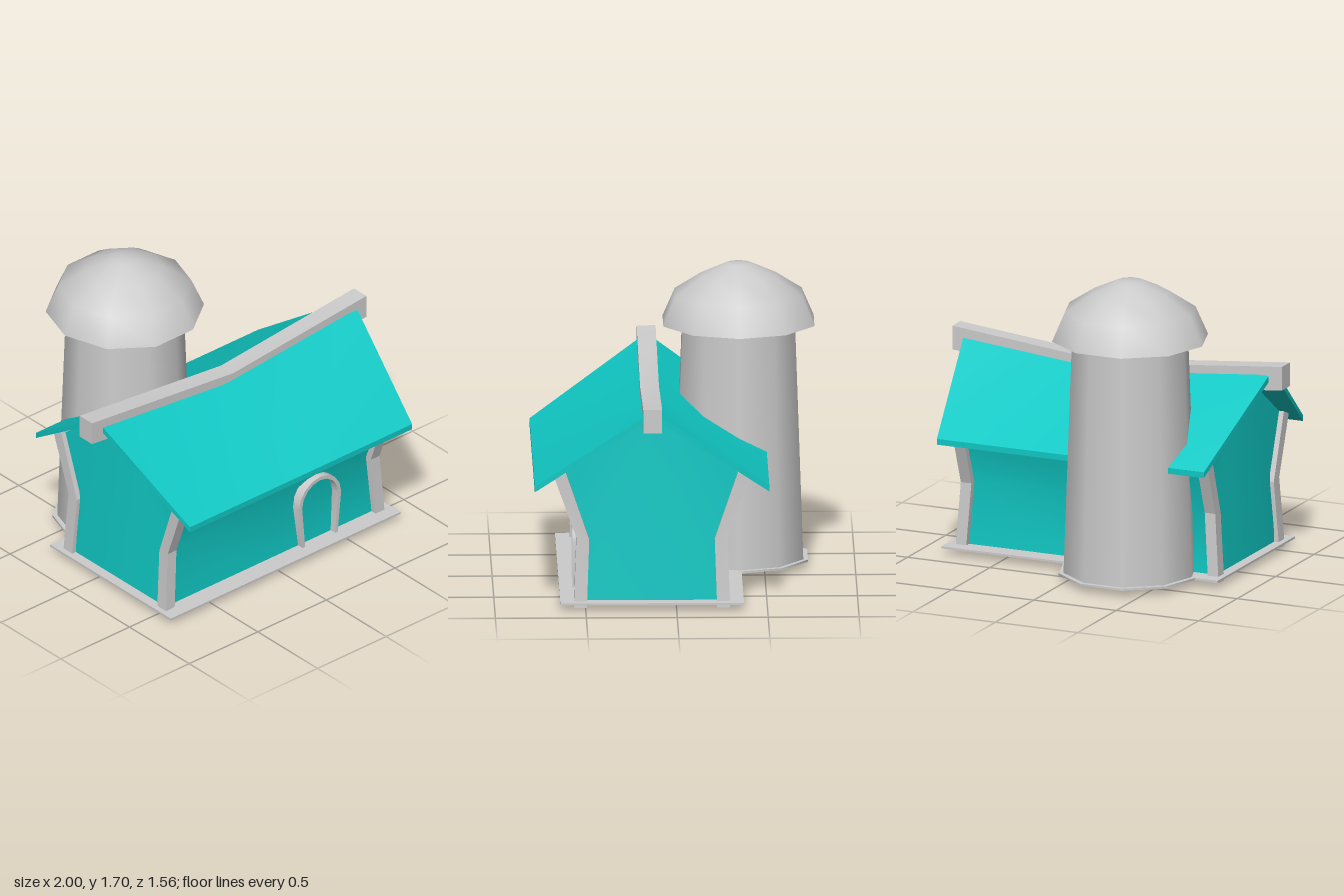
import * as THREE from 'three';
import { toCreasedNormals } from 'three/addons/utils/BufferGeometryUtils.js';

const grey = new THREE.MeshStandardMaterial({ color: 0xcccccc });
const greyOpen = new THREE.MeshStandardMaterial({ color: 0xcccccc, side: THREE.DoubleSide });
const teal = new THREE.MeshStandardMaterial({ color: 0x10c8c4 });
const MID = 0.135; // z of the ridge line

// Joins equal rings of [x, y, z] points into a closed solid; caps fan from point 0.
function loft(rings, crease = 0.6) {
  const n = rings[0].length, last = (rings.length - 1) * n, index = [];
  for (let r = 0; r < rings.length - 1; r++) {
    for (let i = 0; i < n; i++) {
      const a = r * n + i, b = r * n + (i + 1) % n;
      index.push(a, b, b + n, a, b + n, a + n);
    }
  }
  for (let i = 1; i < n - 1; i++) {
    index.push(0, i + 1, i, last, last + i, last + i + 1);
  }
  // Turn the faces outward if the signed volume is negative
  const p = rings.flat().map((c) => new THREE.Vector3(...c));
  let volume = 0;
  for (let i = 0; i < index.length; i += 3) {
    volume += p[index[i]].dot(p[index[i + 1]].clone().cross(p[index[i + 2]]));
  }
  if (volume < 0) index.reverse();
  const g = new THREE.BufferGeometry().setFromPoints(p);
  g.setIndex(index);
  return toCreasedNormals(g, crease);
}

export function createModel() {
  const model = new THREE.Group();
  const add = (name, geometry, material, x = 0, y = 0, z = 0) => {
    const mesh = new THREE.Mesh(geometry, material);
    mesh.name = name;
    mesh.position.set(x, y, z);
    model.add(mesh);
    return mesh;
  };

  // Walls: pinched waist, flared top, gable rising to the sagging ridge
  const wallRing = (s, ridgeY) => {
    const side = [[0.77, 0.02, 0.395], [0.742, 0.4, 0.375], [0.745, 0.74, 0.5]];
    const at = ([x, y, d], k) => [s * x + 0.007, y, MID + k * d];
    return [
      [s * 0.745 + 0.007, ridgeY, MID],
      ...side.slice().reverse().map((p) => at(p, 1)),
      ...side.map((p) => at(p, -1)),
    ];
  };
  add('walls', loft([wallRing(-1, 1.1), wallRing(0, 1.015), wallRing(1, 1.1)]), teal);

  // Roof: thin chevron sheet, longer at the ridge than at the eaves
  const roofRing = (s, ridgeY) => {
    const e = s * 0.81 + 0.007, r = s * 0.937 + 0.007;
    return [
      [r, ridgeY - 0.035, MID],
      [e, 0.667, MID + 0.645], [e, 0.7, MID + 0.645],
      [r, ridgeY, MID],
      [e, 0.7, MID - 0.645], [e, 0.667, MID - 0.645],
    ];
  };
  add('roof', loft([roofRing(-1, 1.15), roofRing(0, 1.06), roofRing(1, 1.15)]), teal);

  // Ridge beam, bent down in the middle
  const beamRing = (x, top) => [
    [x, top, MID - 0.052], [x, top, MID + 0.052],
    [x, top - 0.135, MID + 0.052], [x, top - 0.135, MID - 0.052],
  ];
  add('ridgeBeam', loft([beamRing(-1, 1.175), beamRing(0.03, 1.075), beamRing(1, 1.175)], 0.3), grey);

  // Bent corner posts: [x, inner offset, inner y, outer offset, outer y]
  const levels = [
    [0.767, 0.358, 0.01, 0.43, 0.01],
    [0.74, 0.345, 0.39, 0.415, 0.4],
    [0.742, 0.472, 0.762, 0.535, 0.735],
  ];
  for (const sx of [-1, 1]) {
    for (const sz of [-1, 1]) {
      const rings = levels.map(([x, zi, yi, zo, yo]) => {
        const cx = sx * x + 0.007, h = 0.032;
        return [
          [cx - h, yi, MID + sz * zi], [cx + h, yi, MID + sz * zi],
          [cx + h, yo, MID + sz * zo], [cx - h, yo, MID + sz * zo],
        ];
      });
      add((sz > 0 ? 'front' : 'back') + (sx > 0 ? 'Left' : 'Right') + 'Post', loft(rings, 0.1), grey);
    }
  }

  // Thin base plate around the walls
  add('basePlate', new THREE.BoxGeometry(1.675, 0.012, 1.01), grey, 0.017, 0.041, MID);

  // Door frame: horseshoe arch with a sill
  const arch = (path, foot, wide, top, y0, reverse) => {
    const pts = [[-foot, y0], [-wide, 0.3]];
    for (let i = 1; i < 8; i++) {
      const a = Math.PI * (1 - i / 8);
      pts.push([Math.cos(a) * wide, 0.3 + Math.sin(a) * (top - 0.3)]);
    }
    pts.push([wide, 0.3], [foot, y0]);
    if (reverse) pts.reverse();
    pts.forEach(([x, y], i) => (i || reverse ? path.lineTo(x, y) : path.moveTo(x, y)));
  };
  const frame = new THREE.Shape();
  arch(frame, 0.125, 0.153, 0.457, 0.02, false);
  arch(frame, 0.107, 0.131, 0.435, 0.02, true);
  frame.closePath();
  const frameGeometry = new THREE.ExtrudeGeometry(frame, { depth: 0.065, bevelEnabled: false });
  add('doorFrame', toCreasedNormals(frameGeometry, 0.6), grey, 0.332, 0, 0.502);
  add('doorSill', new THREE.BoxGeometry(0.25, 0.028, 0.08), grey, 0.332, 0.014, 0.53);

  // Ten-sided tower, open at the bottom, with a domed cap
  const tower = new THREE.Group();
  tower.name = 'tower';
  tower.position.set(-0.285, 0, -0.36);
  model.add(tower);
  const turned = (name, profile, material, crease) => {
    const points = profile.map(([r, y]) => new THREE.Vector2(r, y));
    const g = new THREE.LatheGeometry(points, 10, Math.PI / 2);
    const mesh = new THREE.Mesh(crease ? toCreasedNormals(g, crease) : g, material);
    mesh.name = name;
    tower.add(mesh);
  };
  turned('towerWall', [[0.373, 0.04], [0.325, 1.38]], greyOpen);
  turned('towerFoot', [[0.36, 0.035], [0.4, 0.035], [0.4, 0.047], [0.36, 0.047]], greyOpen, 0.7);
  turned('towerCap', [[0.32, 1.37], [0.437, 1.37], [0.367, 1.53], [0.215, 1.63], [0.075, 1.695], [0, 1.7]],
    greyOpen, 0.75);

  return model;
}
